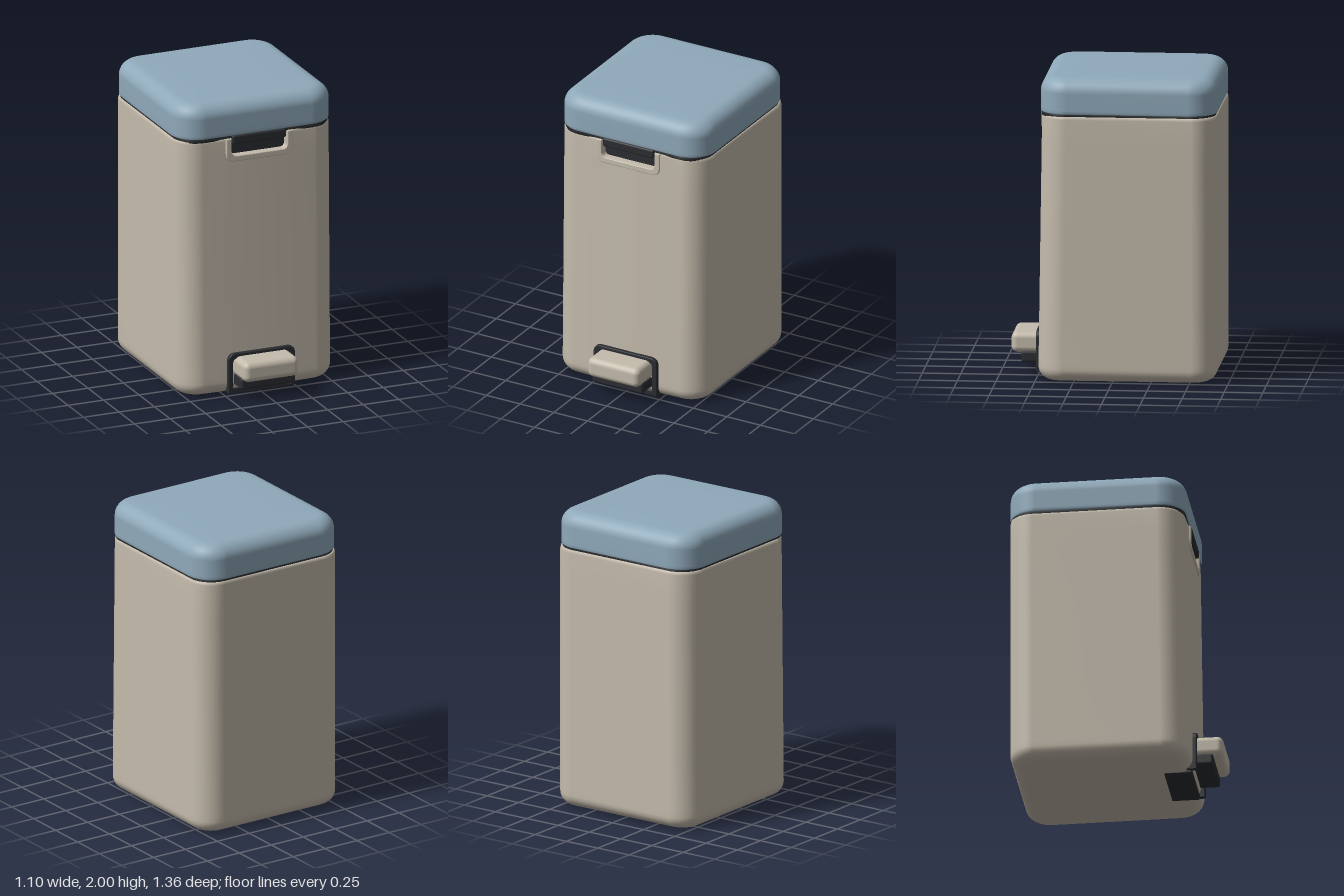
import * as THREE from 'three';
import { RoundedBoxGeometry } from 'three/addons/geometries/RoundedBoxGeometry.js';

const BEIGE = 0xc4bbac, BLUE = 0x8fa9ba, DARK = 0x2b2d31;
const BACK = -0.675, NOTCH_X = 0.21, NOTCH_Y = 1.61;

function part(name, geometry, color, x = 0, y = 0, z = 0) {
  const mesh = new THREE.Mesh(geometry, new THREE.MeshStandardMaterial({ color }));
  mesh.name = name;
  mesh.position.set(x, y, z);
  return mesh;
}

// Rounded-rectangle outline, starting along the front edge
function outline(inset, front, radius, bow) {
  const w = 0.55 - inset, f = front - inset, b = BACK + inset, r = Math.max(radius - inset, 0.03);
  const pts = [-NOTCH_X, -0.07, 0.07, NOTCH_X].map(x => [x, f]);
  const corners = [[w - r, f - r, 90], [w - r, b + r, 0], [-w + r, b + r, -90], [-w + r, f - r, -180]];
  for (const [cx, cz, start] of corners) {
    for (let i = 0; i <= 10; i++) {
      const a = THREE.MathUtils.degToRad(start - i * 9);
      pts.push([cx + r * Math.cos(a), cz + r * Math.sin(a)]);
    }
  }
  return pts.map(([x, z]) => [x, z > 0 ? z + bow * (1 - (x / 0.55) ** 2) : z]);
}

// Skin a stack of levels { y, inset, front }, closed at both ends
function loft(levels, radius, bow, skip = () => false) {
  const pos = [], index = [];
  const rings = levels.map(l => outline(l.inset, l.front, radius, bow));
  const n = rings[0].length;
  rings.forEach((ring, j) => ring.forEach(([x, z]) => pos.push(x, levels[j].y, z)));
  for (let j = 0; j < rings.length - 1; j++) {
    for (let i = 0; i < n; i++) {
      if (skip(i, levels[j].y)) continue;
      const k = (i + 1) % n, a = j * n + i, b = j * n + k;
      index.push(a, b, a + n, b, b + n, a + n);
    }
  }
  const last = (rings.length - 1) * n, low = pos.length / 3;
  pos.push(0, levels[0].y, -0.1, 0, levels.at(-1).y, -0.1);
  for (let i = 0; i < n; i++) {
    const k = (i + 1) % n;
    index.push(low, k, i, low + 1, last + i, last + k);
  }
  const geometry = new THREE.BufferGeometry();
  geometry.setAttribute('position', new THREE.Float32BufferAttribute(pos, 3));
  geometry.setIndex(index);
  geometry.computeVertexNormals();
  return geometry;
}

// U-shaped band with rounded closed end at y = 0 and legs rising to y = height
function uBand(halfWidth, height, thick, radius, depth) {
  const s = new THREE.Shape();
  const w = halfWidth, v = w - thick, r = radius, q = Math.max(radius - thick * 0.6, 0.015);
  s.moveTo(-w, height);
  s.lineTo(-w, r);
  s.quadraticCurveTo(-w, 0, -w + r, 0);
  s.lineTo(w - r, 0);
  s.quadraticCurveTo(w, 0, w, r);
  s.lineTo(w, height);
  s.lineTo(v, height);
  s.lineTo(v, thick + q);
  s.quadraticCurveTo(v, thick, v - q, thick);
  s.lineTo(-v + q, thick);
  s.quadraticCurveTo(-v, thick, -v, thick + q);
  s.lineTo(-v, height);
  s.closePath();
  return new THREE.ExtrudeGeometry(s, {
    depth: depth - 0.008, bevelThickness: 0.008, bevelSize: 0.006, bevelOffset: -0.006, bevelSegments: 3, curveSegments: 8,
  });
}

export function createModel() {
  const model = new THREE.Group();
  model.name = 'pedalBin';

  // Body: rounded base, slightly leaning and bowed front, opening for the handle
  const frontAt = y => 0.453 + 0.025 * (1 - y / 1.75);
  const level = (y, inset) => ({ y, inset, front: frontAt(y) });
  const R = 0.085, body = [level(0.008, R + 0.03)];
  for (let i = 0; i <= 8; i++) {
    const a = i / 8 * Math.PI / 2;
    body.push(level(0.008 + R * (1 - Math.cos(a)), R * (1 - Math.sin(a))));
  }
  for (const y of [0.13, 0.5, 1, 1.5, NOTCH_Y, 1.73]) body.push(level(y, 0));
  body.push(level(1.747, 0.004), level(1.75, 0.012));
  const inNotch = (i, y) => i < 3 && y >= NOTCH_Y;
  model.add(part('body', loft(body, 0.16, 0.016, inNotch), BEIGE));

  // Dark seal between body and lid
  const seal = [[1.735, 0.03], [1.74, 0.012], [1.775, 0.012], [1.78, 0.03]];
  model.add(part('seal', loft(seal.map(([y, inset]) => ({ y, inset, front: 0.473 })), 0.17, 0), DARK));

  // Lid with soft top edge
  const lid = [[1.765, 0.025], [1.765, 0.005], [1.77, 0], [1.79, 0]].map(([y, inset]) => ({ y, inset, front: 0.47 }));
  for (let i = 0; i <= 10; i++) {
    const a = i / 10 * Math.PI / 2;
    lid.push({ y: 1.9 + 0.095 * Math.sin(a), inset: 0.1 * (1 - Math.cos(a)), front: 0.47 });
  }
  lid.push({ y: 1.997, inset: 0.14, front: 0.47 }, { y: 2, inset: 0.3, front: 0.47 });
  model.add(part('lid', loft(lid, 0.18, 0), BLUE));

  // Handle recess: raised lip, dark back wall and lid tab
  const handle = new THREE.Group();
  handle.name = 'handleRecess';
  handle.add(part('recessLip', uBand(0.235, 0.16, 0.04, 0.06, 0.06), BEIGE, 0, 1.588, 0.418));
  handle.add(part('recessWall', new THREE.BoxGeometry(0.44, 0.15, 0.02), DARK, 0, 1.67, 0.415));
  handle.add(part('lidTab', new RoundedBoxGeometry(0.38, 0.06, 0.09, 3, 0.012), DARK, 0, 1.735, 0.432));
  model.add(handle);

  // Foot pedal: arched frame, lever and step pad
  const pedal = new THREE.Group();
  pedal.name = 'pedal';
  const frame = part('pedalFrame', uBand(0.235, 0.268, 0.034, 0.055, 0.08), DARK, 0, 0.288, 0.435);
  frame.geometry.rotateZ(Math.PI);
  pedal.add(frame);
  pedal.add(part('pedalLever', new RoundedBoxGeometry(0.375, 0.075, 0.22, 3, 0.015), DARK, 0, 0.107, 0.505));
  pedal.add(part('pedalPad', new RoundedBoxGeometry(0.385, 0.135, 0.24, 5, 0.04), BEIGE, 0, 0.2, 0.56));
  pedal.add(part('pedalWell', new THREE.BoxGeometry(0.41, 0.2, 0.02), DARK, 0, 0.17, 0.478));
  pedal.add(part('basePlate', new RoundedBoxGeometry(0.42, 0.04, 0.18, 2, 0.008), DARK, 0, 0.02, 0.39));
  model.add(pedal);

  return model;
}
